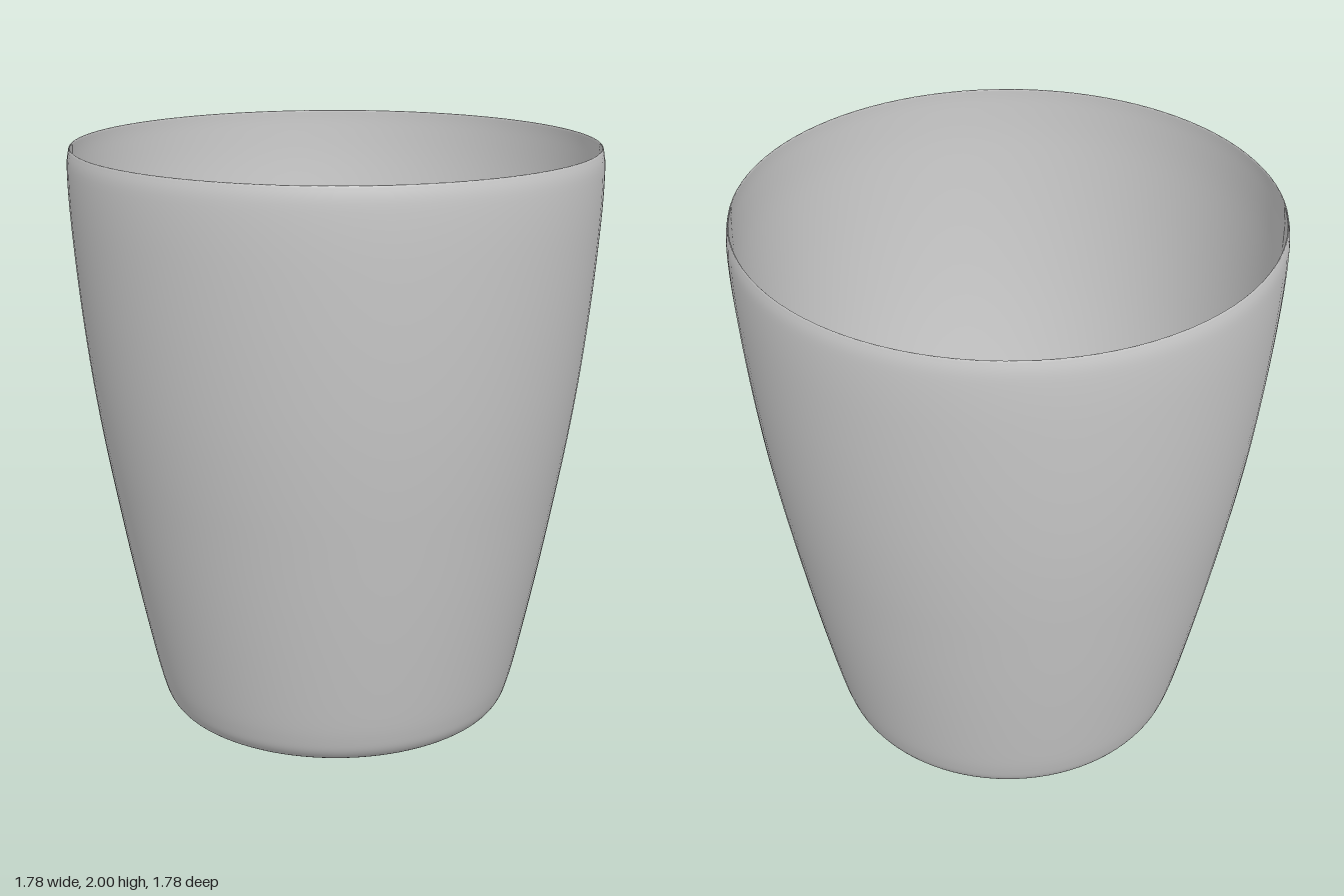
import * as THREE from 'three';

const material = new THREE.MeshStandardMaterial({ color: 0xcccccc, side: THREE.DoubleSide });

// Smooth curve through [radius, height] pairs
function smooth(points, count) {
  return new THREE.SplineCurve(points.map(([r, y]) => new THREE.Vector2(r, y))).getPoints(count);
}

export function createModel() {
  const group = new THREE.Group();
  group.name = 'cup';

  // Outer skin: nearly flat base, tight rounded heel, gently bulging flared wall, slight tuck at the rim
  const outer = smooth([
    [0, 0], [0.25, 0.001], [0.42, 0.005], [0.53, 0.014], [0.575, 0.03], [0.603, 0.06],
    [0.622, 0.11], [0.645, 0.2], [0.688, 0.4], [0.728, 0.6], [0.765, 0.8], [0.8, 1.0],
    [0.83, 1.2], [0.854, 1.4], [0.873, 1.6], [0.887, 1.8], [0.89, 1.94], [0.882, 1.998],
  ], 90);

  // Inner skin: thin wall running back down to a rounded floor
  const inner = smooth([
    [0.878, 1.998], [0.879, 1.94], [0.875, 1.8], [0.861, 1.6], [0.842, 1.4], [0.818, 1.2],
    [0.788, 1.0], [0.753, 0.8], [0.716, 0.6], [0.676, 0.4], [0.633, 0.2], [0.61, 0.11],
    [0.592, 0.066], [0.567, 0.04], [0.525, 0.026], [0.42, 0.017], [0.25, 0.013], [0, 0.012],
  ], 90);

  const profile = [...outer, new THREE.Vector2(0.88, 2), ...inner];
  profile.forEach((p) => { p.x = Math.max(p.x, 0); p.y = Math.max(p.y, 0); });

  const body = new THREE.Mesh(new THREE.LatheGeometry(profile, 96), material);
  body.name = 'cupBody';
  group.add(body);
  return group;
}
